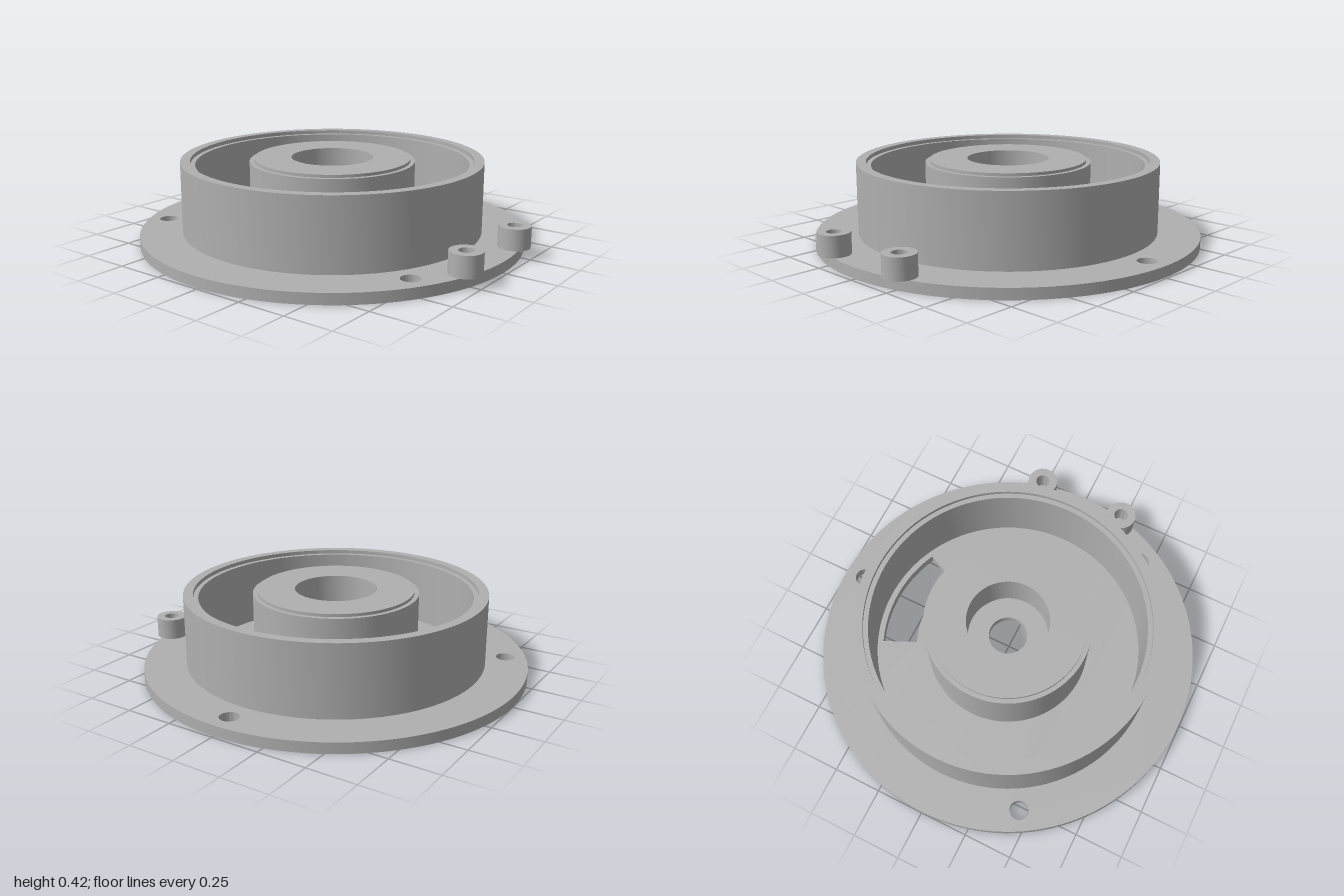
import * as THREE from 'three';
import { toCreasedNormals } from 'three/addons/utils/BufferGeometryUtils.js';

const CX = -0.01;        // axis of the round body
const PLATE = 0.055;     // plate thickness
const POST_X = 0.915, POST_Z = 0.24, POST_HOLE = 0.037;

function circleHole(x, z, r) {
  const p = new THREE.Path();
  p.absarc(x, -z, r, 0, Math.PI * 2, true);
  return p;
}

// Closed (radius, height) profile, listed up the outside and down the inside
function turned(profile, segments = 96) {
  const pts = [...profile, profile[0]].map(([r, y]) => new THREE.Vector2(r, y));
  return toCreasedNormals(new THREE.LatheGeometry(pts, segments), 0.5);
}

export function createModel() {
  const group = new THREE.Group();
  const grey = new THREE.MeshStandardMaterial({ color: 0xb0b0b0 });
  grey.name = 'plain grey';

  function add(name, geometry, x = CX, z = 0) {
    const mesh = new THREE.Mesh(geometry, grey);
    mesh.name = name;
    mesh.position.set(x, 0, z);
    group.add(mesh);
  }

  // Base plate with centre opening, screw holes, post holes and a curved window
  const plate = new THREE.Shape();
  plate.absarc(0, 0, 0.99, 0, Math.PI * 2, false);
  plate.holes.push(circleHole(0, 0, 0.267));
  for (let i = 0; i < 3; i++) {
    const a = Math.PI / 2 + i * Math.PI * 2 / 3;
    plate.holes.push(circleHole(0.885 * Math.cos(a), -0.885 * Math.sin(a), 0.048));
  }
  for (const s of [-1, 1]) plate.holes.push(circleHole(POST_X - CX, s * POST_Z, POST_HOLE));
  const half = 0.43, mid = Math.PI / 2;
  const windowCut = new THREE.Path();
  windowCut.absarc(0, 0, 0.67, mid - half, mid + half, false);
  windowCut.absarc(0, 0, 0.49, mid + half, mid - half, true);
  windowCut.closePath();
  plate.holes.push(windowCut);
  const plateGeo = new THREE.ExtrudeGeometry(plate, { depth: PLATE, bevelEnabled: false, curveSegments: 64 });
  plateGeo.rotateX(-Math.PI / 2);
  add('basePlate', toCreasedNormals(plateGeo, 0.5));

  // Outer wall with a small step inside its rim
  add('outerWall', turned([
    [0.775, PLATE], [0.775, 0.42], [0.725, 0.42], [0.725, 0.4], [0.7, 0.4], [0.7, PLATE],
  ]));

  // Central hub: stepped rim, upper bore, thin web with a small hole, lower recess
  add('hub', turned([
    [0.425, PLATE], [0.425, 0.405], [0.402, 0.405], [0.402, 0.42], [0.21, 0.42],
    [0.21, 0.2], [0.1, 0.2], [0.1, 0.155], [0.24, 0.155], [0.24, 0.13],
    [0.267, 0.13], [0.267, PLATE],
  ]));

  // Pair of hollow posts overhanging the plate edge
  for (const s of [-1, 1]) {
    add(s > 0 ? 'frontPost' : 'backPost', turned([
      [0.08, PLATE], [0.08, 0.163], [POST_HOLE, 0.163], [POST_HOLE, PLATE],
    ], 48), POST_X, s * POST_Z);
  }
  return group;
}
